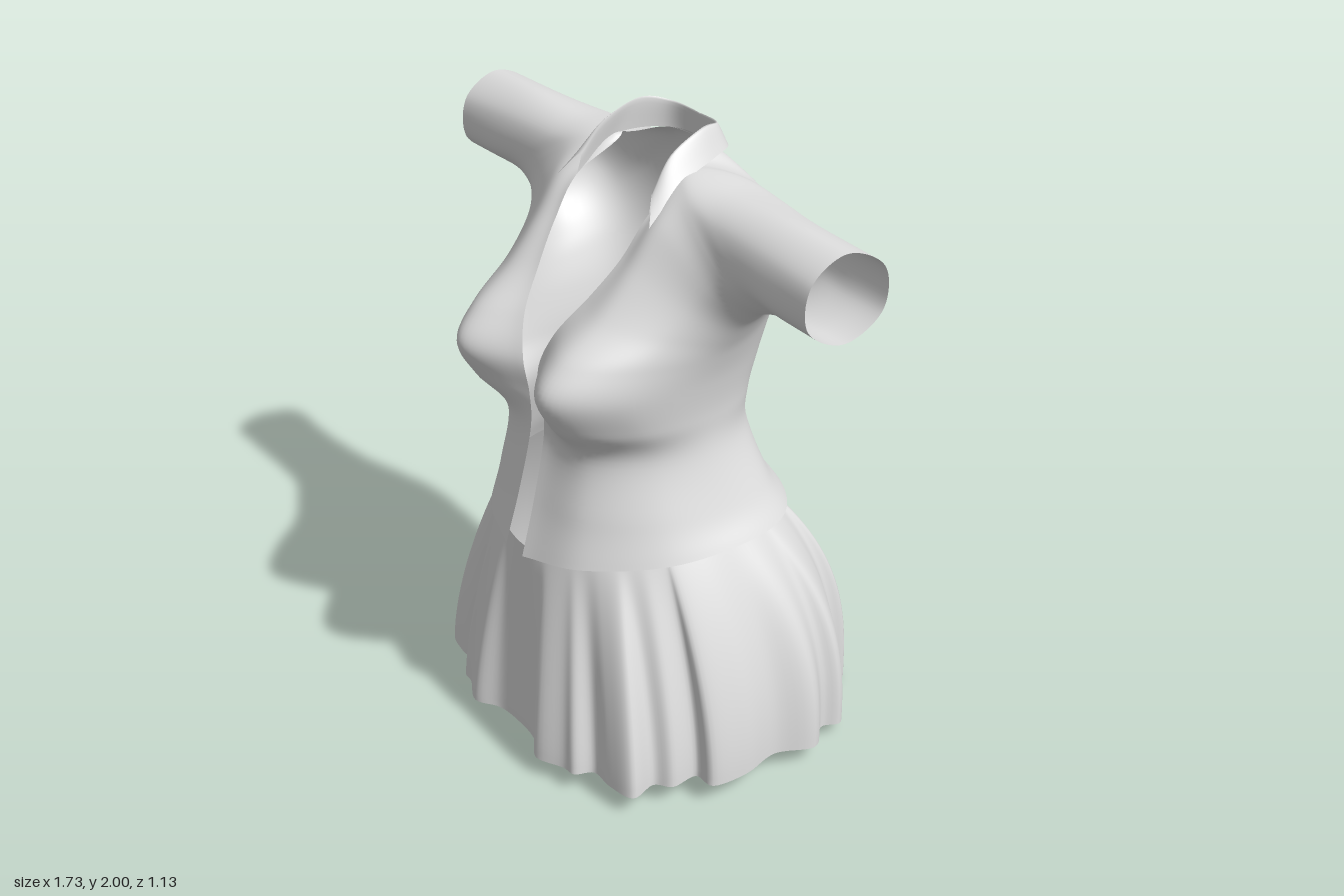
import * as THREE from 'three';
import { mergeGeometries, mergeVertices } from 'three/addons/utils/BufferGeometryUtils.js';

const V = (x, y, z) => new THREE.Vector3(x, y, z);
const pts = (rows) => rows.map((r) => V(...r));
const reflect = (a, b) => a.clone().multiplyScalar(2).sub(b);
const flipX = (p) => V(-p.x, p.y, p.z);

// Catmull-Rom through p, t in 0..p.length-1, with optional end neighbours
function spline(p, t, before, after) {
  const n = p.length - 1;
  const i = Math.min(Math.floor(t), n - 1), u = t - i;
  const a = i > 0 ? p[i - 1] : before || reflect(p[0], p[1]);
  const d = i + 2 <= n ? p[i + 2] : after || reflect(p[n], p[n - 1]);
  const b = p[i], c = p[i + 1], out = V(0, 0, 0);
  for (const k of ['x', 'y', 'z']) {
    out[k] = b[k] + 0.5 * u * (c[k] - a[k] + u * (2 * a[k] - 5 * b[k] + 4 * c[k] - d[k]
      + u * (3 * (b[k] - c[k]) + d[k] - a[k])));
  }
  return out;
}

// Grid surface from fn(u, v) on the +x side, mirrored and welded to the -x side
function mirroredGrid(fn, nu, nv) {
  const halves = [1, -1].map((s) => {
    const pos = [], idx = [];
    for (let j = 0; j <= nv; j++) for (let i = 0; i <= nu; i++) {
      const p = fn(i / nu, j / nv);
      pos.push(p.x * s, p.y, p.z);
    }
    for (let j = 0; j < nv; j++) for (let i = 0; i < nu; i++) {
      const a = j * (nu + 1) + i, b = a + 1, c = b + nu + 1, d = a + nu + 1;
      if (s > 0) idx.push(a, b, c, a, c, d);
      else idx.push(a, c, b, a, d, c);
    }
    const g = new THREE.BufferGeometry();
    g.setAttribute('position', new THREE.Float32BufferAttribute(pos, 3));
    g.setIndex(idx);
    return g;
  });
  const g = mergeVertices(mergeGeometries(halves), 1e-4);
  g.computeVertexNormals();
  return g;
}

// Shirt: guide lines run from the hem up the body and out along the sleeve
const frontEdge = pts([[.045, .725, .5], [.04, .9, .45], [.035, 1.1, .405], [.035, 1.22, .405], [.04, 1.34, .42],
  [.08, 1.46, .385], [.13, 1.57, .3], [.168, 1.68, .215], [.18, 1.8, .125], [.168, 1.9, -.03],
  [.38, 1.89, -.02], [.62, 1.895, -.02], [.855, 1.89, -.02]]);
const bust = pts([[.25, .755, .425], [.23, .9, .395], [.21, 1.1, .375], [.225, 1.23, .475], [.225, 1.345, .53],
  [.235, 1.44, .465], [.25, 1.54, .335], [.26, 1.66, .23], [.27, 1.78, .15], [.29, 1.85, .085],
  [.42, 1.84, .08], [.62, 1.835, .085], [.85, 1.825, .095]]);
const frontSide = pts([[.42, .78, .22], [.375, .9, .22], [.325, 1.09, .22], [.345, 1.21, .285], [.362, 1.33, .34],
  [.372, 1.43, .295], [.385, 1.51, .215], [.41, 1.59, .15], [.45, 1.65, .115], [.5, 1.69, .1],
  [.58, 1.705, .095], [.71, 1.7, .1], [.85, 1.695, .1]]);
const side = pts([[.47, .8, -.03], [.42, .9, -.01], [.365, 1.08, .02], [.362, 1.2, .03], [.38, 1.32, .03],
  [.405, 1.41, .02], [.43, 1.47, .01], [.465, 1.53, 0], [.51, 1.575, -.01], [.56, 1.6, -.015],
  [.64, 1.62, -.02], [.74, 1.63, -.02], [.86, 1.63, -.02]]);
const backSide = pts([[.41, .8, -.22], [.365, .91, -.18], [.315, 1.09, -.13], [.32, 1.22, -.13], [.335, 1.34, -.15],
  [.36, 1.46, -.17], [.385, 1.54, -.18], [.42, 1.6, -.18], [.465, 1.65, -.175], [.52, 1.68, -.165],
  [.6, 1.695, -.155], [.72, 1.695, -.145], [.865, 1.695, -.145]]);
const backMid = pts([[.24, .8, -.335], [.21, .92, -.265], [.18, 1.1, -.215], [.18, 1.24, -.215], [.19, 1.38, -.245],
  [.2, 1.53, -.27], [.21, 1.66, -.265], [.23, 1.76, -.245], [.26, 1.815, -.215], [.31, 1.84, -.185],
  [.42, 1.84, -.17], [.62, 1.83, -.15], [.865, 1.825, -.145]]);
const backEdge = pts([[0, .8, -.37], [0, .93, -.29], [0, 1.1, -.235], [0, 1.25, -.23], [0, 1.4, -.25],
  [0, 1.58, -.265], [0, 1.76, -.25], [0, 1.89, -.195], [.12, 1.9, -.16], [.168, 1.9, -.03],
  [.38, 1.89, -.02], [.62, 1.895, -.02], [.855, 1.89, -.02]]);

function shirtGeometry() {
  const lines = [frontEdge, bust, frontSide, side, backSide, backMid, backEdge];
  const shoulder = 9; // from here on the sections are closed rings
  const before = frontEdge.map((p, i) => (i >= shoulder ? backMid[i] : reflect(p, bust[i])));
  const after = backEdge.map((p, i) =>
    i >= shoulder ? bust[i] : i < 8 ? flipX(backMid[i]) : reflect(p, backMid[i]));
  return mirroredGrid((u, v) => {
    const t = v * 12;
    const s = lines.map((l) => spline(l, t));
    s[6].x = Math.max(0, s[6].x);
    if (t >= shoulder) {
      s[0].lerp(s[6], 0.5);
      s[6].copy(s[0]);
    }
    return spline(s, u * 6, spline(before, t), spline(after, t));
  }, 60, 96);
}

// Collar: stands up from the neck edge, folds over and falls to a point
function collarGeometry() {
  const neck = [backEdge[7], backEdge[8], backEdge[9], V(.178, 1.855, .055), frontEdge[8]];
  const fold = pts([[0, 1.975, -.185], [.105, 1.985, -.165], [.15, 2, -.08], [.165, 1.95, .04], [.18, 1.86, .115]]);
  const fall = pts([[0, 1.915, -.205], [.13, 1.92, -.19], [.19, 1.92, -.1], [.218, 1.88, .04], [.235, 1.785, .165]]);
  return mirroredGrid((u, v) => {
    const s = [neck, fold, fall].map((l) => spline(l, u * 4, flipX(l[1])));
    return spline(s, v * 2);
  }, 28, 12);
}

// Skirt: smooth waist ring flaring out to a pleated hem
function skirtGeometry() {
  const hem = [[0, .505], [.1, .515], [.18, .56], [.27, .52], [.32, .51], [.35, .455], [.43, .455], [.52, .43],
    [.505, .345], [.55, .3], [.55, .215], [.62, .2], [.635, .08], [.61, -.05], [.648, -.18], [.57, -.27],
    [.58, -.345], [.47, -.42], [.375, -.475], [.365, -.54], [.26, -.53], [.18, -.54], [.14, -.567],
    [0, -.555]].map(([x, z]) => V(x, 0, z));
  const n = hem.length - 1;
  return mirroredGrid((u, v) => {
    const p = spline(hem, u * n, flipX(hem[1]), flipX(hem[n - 1]));
    const a = Math.atan2(p.x / 0.63, p.z / 0.55), c = Math.cos(a), s = Math.sin(a);
    p.y = 0.083 - 0.012 * Math.max(0, c) - 0.08 * Math.max(0, -c) ** 1.5;
    const waist = V(0.43 * s, 0.79 + 0.025 * s * s - 0.055 * Math.max(0, c) ** 3, 0.07 + 0.4 * c);
    const d = 1 - v, w = 1 - v ** (2.1 - 0.8 * c); // the back swells out sooner than the front
    return V(THREE.MathUtils.lerp(waist.x, p.x, w), THREE.MathUtils.lerp(waist.y, p.y, d),
      THREE.MathUtils.lerp(waist.z, p.z, w));
  }, n * 6, 28);
}

export function createModel() {
  const cloth = new THREE.MeshStandardMaterial({ color: 0xe0e0e0, side: THREE.DoubleSide });
  cloth.name = 'light grey cloth';
  const group = new THREE.Group();
  group.name = 'outfit';
  const parts = { shirt: shirtGeometry(), collar: collarGeometry(), skirt: skirtGeometry() };
  for (const [name, geometry] of Object.entries(parts)) {
    const mesh = new THREE.Mesh(geometry, cloth);
    mesh.name = name;
    group.add(mesh);
  }
  return group;
}
